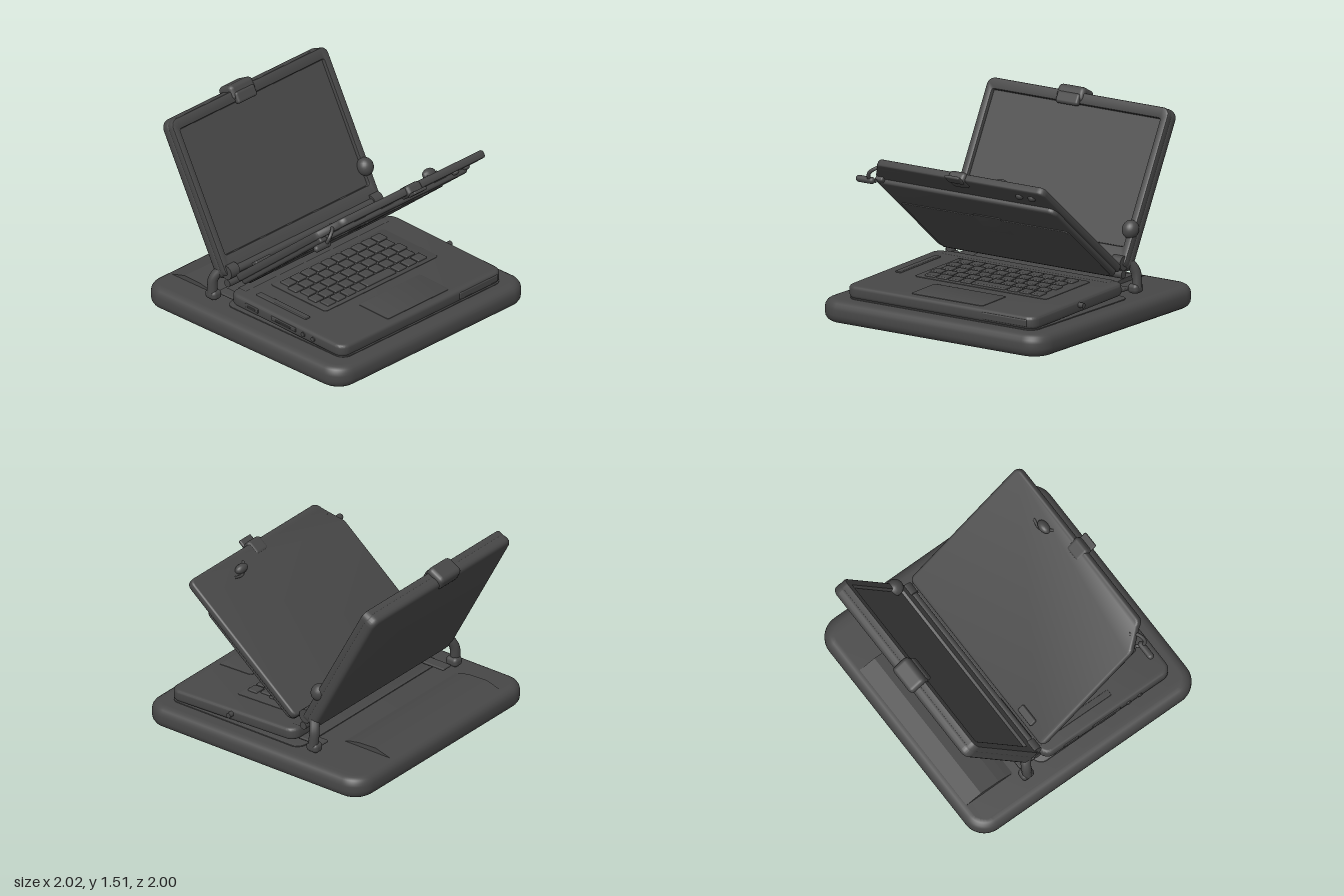
import * as THREE from 'three';
import { toCreasedNormals } from 'three/addons/utils/BufferGeometryUtils.js';
import { RoundedBoxGeometry } from 'three/addons/geometries/RoundedBoxGeometry.js';

const plastic = new THREE.MeshStandardMaterial({ color: 0x474747 });
plastic.name = 'dark grey plastic';

function add(parent, name, geometry, x = 0, y = 0, z = 0) {
  const mesh = new THREE.Mesh(geometry, plastic);
  mesh.name = name;
  mesh.position.set(x, y, z);
  parent.add(mesh);
  return mesh;
}

function group(parent, name, angle = 0, x = 0, y = 0) {
  const g = new THREE.Group();
  g.name = name;
  g.position.set(x, y, 0);
  g.rotation.z = angle;
  parent.add(g);
  return g;
}

// Rounded rectangle outline in x and z
function outline(w, d, r, Type = THREE.Shape) {
  const s = new Type(), a = w / 2, b = d / 2;
  s.absarc(a - r, b - r, r, 0, Math.PI / 2);
  s.absarc(-a + r, b - r, r, Math.PI / 2, Math.PI);
  s.absarc(-a + r, -b + r, r, Math.PI, Math.PI * 1.5);
  s.absarc(a - r, -b + r, r, Math.PI * 1.5, Math.PI * 2);
  s.closePath();
  return s;
}

// Lying slab with a rounded rim, centred in height
function extrudeFlat(shape, h, bevel, segments = 4) {
  const geo = new THREE.ExtrudeGeometry(shape, {
    depth: h - 2 * bevel, bevelEnabled: bevel > 0, bevelThickness: bevel,
    bevelSize: bevel, bevelOffset: -bevel, bevelSegments: segments, curveSegments: 8,
  });
  geo.translate(0, 0, -(h - 2 * bevel) / 2);
  geo.rotateX(Math.PI / 2);
  return toCreasedNormals(geo, 0.6);
}
const slab = (w, h, d, r, bevel) => extrudeFlat(outline(w, d, r), h, bevel);
const rbox = (w, h, d, r = 0.01) => new RoundedBoxGeometry(w, h, d, 2, r);
const rodZ = (r, length) => new THREE.CylinderGeometry(r, r, length, 16).rotateX(Math.PI / 2);
const tube = (r, points) => new THREE.TubeGeometry(
  new THREE.CatmullRomCurve3(points.map(p => new THREE.Vector3(...p))), 24, r, 10);

function buildBase(root) {
  const base = group(root, 'base');
  add(base, 'basePad', slab(2, 0.17, 2, 0.17, 0.065), 0, 0.09, 0);
  add(base, 'baseInset', slab(1.2, 0.012, 1.67, 0.08, 0.004), 0.27, 0.177, -0.015);
  // Low ramp behind the screen
  const ramp = new THREE.Shape([[-0.95, 0.17], [-0.5, 0.17], [-0.57, 0.192], [-0.64, 0.205], [-0.8, 0.212]]
    .map(p => new THREE.Vector2(...p)));
  const rampGeo = new THREE.ExtrudeGeometry(ramp, { depth: 1.3, bevelEnabled: false });
  add(base, 'rearRamp', rampGeo, 0, 0, -0.55);
}

function buildDeck(root) {
  const deck = group(root, 'keyboardDeck', -0.03, 0.295, 0.243);
  add(deck, 'deckBody', slab(1.15, 0.095, 1.68, 0.08, 0.026), 0, 0, -0.01);
  add(deck, 'deckRearLip', rbox(0.08, 0.05, 1.5), -0.53, 0.025, -0.01);
  add(deck, 'touchpad', slab(0.3, 0.008, 0.64, 0.02, 0.002), 0.36, 0.048, -0.03);
  add(deck, 'keyboardTray', slab(0.56, 0.008, 1.18, 0.03, 0.002), -0.16, 0.048, -0.05);
  // Staggered rows of keys
  for (let row = 0; row < 5; row++) {
    for (let i = 0; i < 10; i++) {
      if (row === 4 && i > 3 && i < 7) continue;
      add(deck, 'key', rbox(0.085, 0.02, 0.088, 0.008),
        -0.36 + row * 0.1, 0.056, 0.43 - i * 0.105 + (row % 2) * 0.025);
    }
  }
  add(deck, 'spaceBar', rbox(0.085, 0.02, 0.3, 0.008), 0.04, 0.056, -0.09);
  add(deck, 'speakerBar', rbox(0.5, 0.016, 0.05, 0.006), -0.15, 0.05, 0.7);
  // Ports and buttons along the long edges
  for (const [x, w] of [[-0.34, 0.13], [-0.02, 0.25]]) {
    add(deck, 'port', rbox(w, 0.035, 0.016, 0.006), x, 0.005, 0.83);
    add(deck, 'portSlot', rbox(w * 0.6, 0.014, 0.016, 0.004), x, 0.005, 0.837);
  }
  for (const x of [0.18, 0.28]) add(deck, 'sideButton', rodZ(0.018, 0.024), x, 0, 0.828);
  add(deck, 'sidePeg', rodZ(0.02, 0.06), 0, 0.012, -0.86);
  add(deck, 'frontLatch', rbox(0.03, 0.055, 0.4), 0.566, 0, -0.59);
}

function buildScreen(root) {
  const screen = group(root, 'screen', -1.08);
  const x = -1.108;
  add(screen, 'screenBack', slab(1.235, 0.095, 1.63, 0.07, 0.035), x, -0.165, 0);
  // Raised bezel around the recessed display
  const frame = outline(1.225, 1.62, 0.06);
  const hole = outline(0.98, 1.5, 0.015, THREE.Path);
  const bezel = new THREE.Path(hole.getPoints(6).map(p => p.clone().add(new THREE.Vector2(-0.037, 0))));
  frame.holes.push(bezel);
  add(screen, 'bezel', extrudeFlat(frame, 0.07, 0.012, 2), x, -0.12, 0);
  add(screen, 'displayPanel', new THREE.BoxGeometry(0.97, 0.008, 1.49), x - 0.037, -0.114, 0);
  add(screen, 'hingeBar', rodZ(0.03, 1.56), -0.53, -0.085, 0);
  add(screen, 'topClip', rbox(0.12, 0.155, 0.24, 0.035), -1.705, -0.145, 0.07);
  add(screen, 'clipTongue', rbox(0.09, 0.05, 0.2, 0.02), -1.66, -0.08, 0.07);
  const knob = add(screen, 'sideKnob', new THREE.SphereGeometry(0.07, 20, 14), -0.79, -0.09, -0.77);
  knob.scale.set(1, 0.9, 0.9);
}

function buildHinge(root) {
  const hinge = group(root, 'hinge');
  add(hinge, 'hingeRod', rodZ(0.03, 1.6), -0.325, 0.345, 0);
  add(hinge, 'hingeBarrel', rodZ(0.042, 0.36), -0.32, 0.37, 0.48);
  add(hinge, 'hingeBarrel', rodZ(0.036, 0.4), -0.33, 0.35, -0.4);
  for (const s of [1, -1]) {
    // Bent legs with feet and tie plates
    add(hinge, 'hingeLeg', tube(0.038, [[-0.33, 0.43, s * 0.74], [-0.41, 0.415, s * 0.78],
      [-0.445, 0.35, s * 0.82], [-0.445, 0.23, s * 0.835]]));
    add(hinge, 'hingeFoot', rbox(0.105, 0.075, 0.09, 0.03), -0.445, 0.225, s * 0.82);
    add(hinge, 'hingeKnuckle', rodZ(0.055, 0.09), -0.34, 0.425, s * 0.75);
    add(hinge, 'tiePlate', rbox(0.24, 0.02, 0.09, 0.008), -0.34, 0.21, s * 0.72);
  }
}

function buildPlate(root) {
  const plate = group(root, 'middlePanel', 0.6825);
  const L = 0.63, W = 0.805;
  // Thin cover with one clipped corner
  const s = new THREE.Shape();
  s.moveTo(-L, -W + 0.05);
  s.quadraticCurveTo(-L, -W, -L + 0.05, -W);
  s.lineTo(L - 0.06, -W);
  s.quadraticCurveTo(L, -W, L, -W + 0.06);
  s.lineTo(L, 0.65);
  s.quadraticCurveTo(L - 0.01, 0.69, L - 0.05, 0.7);
  s.lineTo(L - 0.19, 0.785);
  s.quadraticCurveTo(L - 0.21, W, L - 0.25, W);
  s.lineTo(-L + 0.05, W);
  s.quadraticCurveTo(-L, W, -L, W - 0.05);
  add(plate, 'panelCover', extrudeFlat(s, 0.06, 0.018), 0.677, 0.472, -0.025);
  add(plate, 'panelBody', slab(1.02, 0.06, 1.58, 0.06, 0.02), 0.56, 0.436, -0.025);
  add(plate, 'panelRidge', slab(0.7, 0.02, 1.5, 0.04, 0.006), 0.42, 0.409, -0.03);
  add(plate, 'undersideLabel', slab(0.26, 0.008, 0.25, 0.02, 0.003), 0.67, 0.402, -0.065);
  add(plate, 'sideGrip', rbox(0.27, 0.05, 0.07, 0.015), 0.97, 0.435, 0.735);
  // End clip with its bent tongue
  add(plate, 'endClip', rbox(0.13, 0.085, 0.15, 0.03), 1.265, 0.465, -0.065);
  add(plate, 'clipTongue', rbox(0.09, 0.025, 0.13, 0.01), 1.33, 0.43, -0.065);
  const bump = add(plate, 'clipBump', new THREE.SphereGeometry(0.06, 18, 12), 1.18, 0.515, -0.36);
  bump.scale.set(0.6, 0.7, 1);
  add(plate, 'crescentRib', tube(0.01, [[1.15, 0.503, -0.46], [1.14, 0.506, -0.38], [1.22, 0.503, -0.29]]));
  add(plate, 'topButton', rbox(0.06, 0.04, 0.16), 0.12, 0.505, 0.54);
  for (const z of [-0.57, -0.68]) {
    const stud = add(plate, 'undersideStud', new THREE.SphereGeometry(0.03, 14, 10), 1.2, 0.44, z);
    stud.scale.y = 0.7;
  }
  // Strap loop ending in a toggle, in model axes
  add(root, 'strapLoop', tube(0.014, [[0.6, 1.13, 0.67], [0.65, 1.12, 0.71], [0.67, 1.08, 0.76],
    [0.65, 1.03, 0.77], [0.61, 1.01, 0.74]]));
  const toggle = add(root, 'strapToggle', new THREE.CapsuleGeometry(0.026, 0.11, 6, 12), 0.645, 1.02, 0.81);
  toggle.rotation.x = Math.PI / 2;
}

export function createModel() {
  const root = new THREE.Group();
  root.name = 'foldingComputer';
  buildBase(root);
  buildDeck(root);
  buildScreen(root);
  buildHinge(root);
  buildPlate(root);
  return root;
}
